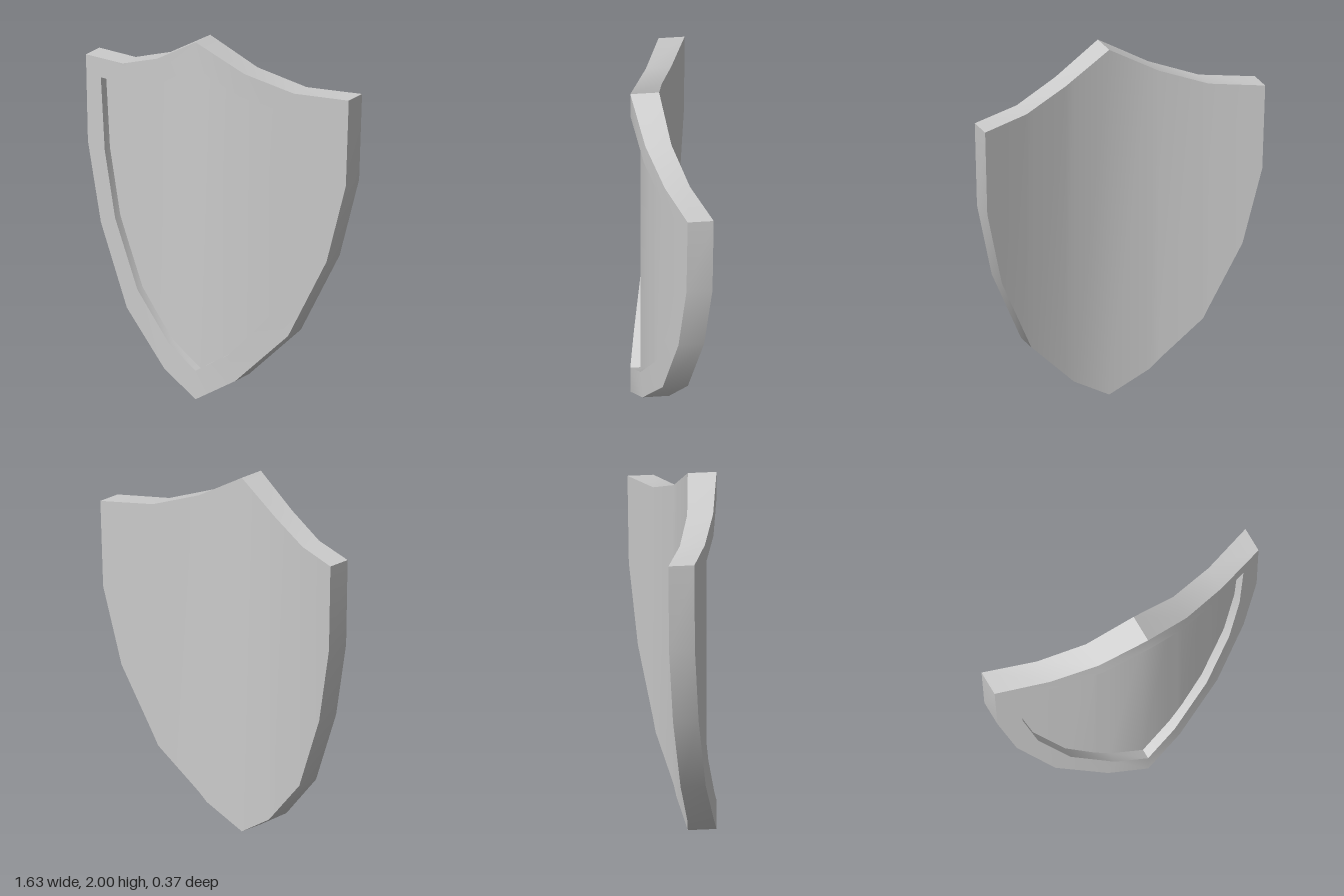
import * as THREE from 'three';
import { toCreasedNormals } from 'three/addons/utils/BufferGeometryUtils.js';

// Half outlines [x, y] from the top point, round the shoulder, to the bottom tip
const OUTER = [[0, 2], [0.27, 1.85], [0.53, 1.76], [0.815, 1.74], [0.8, 1.26], [0.7, 0.83], [0.5, 0.4], [0.22, 0.125], [0, 0]];
const INNER = [[0, 1.855], [0.245, 1.72], [0.49, 1.65], [0.7, 1.64], [0.67, 1.24], [0.59, 0.88], [0.42, 0.52], [0.185, 0.27], [0, 0.16]];
const SHOULDER = 3; // index of the upper corner

// Bent depth profiles [x, z]
const FRONT = [[0, 0.185], [0.27, 0.13], [0.53, 0.05], [0.815, -0.045]];
const BACK = [[0, 0.03], [0.27, -0.01], [0.53, -0.085], [0.815, -0.185]];
const RECESS = 0.055;

// Piecewise linear lookup on points sorted by their first value
function lookup(points, x) {
  const a = Math.abs(x);
  let i = 1;
  while (i < points.length - 1 && a > points[i][0]) i++;
  const [p, q] = [points[i - 1], points[i]];
  return p[1] + (q[1] - p[1]) * (a - p[0]) / (q[0] - p[0]);
}
const frontZ = x => lookup(FRONT, x);
const backZ = x => lookup(BACK, x);
const panelZ = x => frontZ(x) - RECESS;

// Closed mirrored outline laid on a bent depth profile
function loop(half, depth) {
  const left = half.slice(1, -1).reverse().map(([x, y]) => [-x, y]);
  return [...half, ...left].map(([x, y]) => [x, y, depth(x)]);
}

// Strip of quads joining two loops
function band(a, b) {
  return a.map((p, i) => {
    const j = (i + 1) % a.length;
    return [p, b[i], b[j], a[j]];
  });
}

// Bent sheet filling an outline, made of vertical columns
function sheet(half, depth, facesBack) {
  const top = half.slice(0, SHOULDER + 1);
  const bottom = half.slice(SHOULDER).reverse();
  const stops = [...half.map(p => p[0]), ...FRONT.map(p => p[0])].filter(x => x <= half[SHOULDER][0]);
  const xs = [...new Set(stops.flatMap(x => (x ? [x, -x] : [0])))].sort((a, b) => a - b);
  const low = xs.map(x => [x, lookup(bottom, x), depth(x)]);
  const high = xs.map(x => [x, lookup(top, x), depth(x)]);
  const quads = [];
  for (let i = 0; i < xs.length - 1; i++) {
    const quad = [low[i], low[i + 1], high[i + 1], high[i]];
    quads.push(facesBack ? quad.reverse() : quad);
  }
  return quads;
}

function makeMesh(name, quads, material) {
  const positions = [];
  const area = new THREE.Triangle();
  for (const [a, b, c, d] of quads) {
    for (const tri of [[a, b, c], [a, c, d]]) {
      area.set(...tri.map(p => new THREE.Vector3(...p)));
      if (area.getArea() > 1e-7) positions.push(...tri.flat());
    }
  }
  const geometry = new THREE.BufferGeometry();
  geometry.setAttribute('position', new THREE.Float32BufferAttribute(positions, 3));
  const mesh = new THREE.Mesh(toCreasedNormals(geometry, 0.55), material);
  mesh.name = name;
  return mesh;
}

export function createModel() {
  const group = new THREE.Group();
  group.name = 'shield';
  const material = new THREE.MeshStandardMaterial({ color: 0xcccccc });

  const outerFront = loop(OUTER, frontZ);
  const outerBack = loop(OUTER, backZ);
  const innerFront = loop(INNER, frontZ);
  const innerPanel = loop(INNER, panelZ);

  // Raised border: outer edge, front face and the step down to the panel
  group.add(makeMesh('rim', [
    ...band(outerBack, outerFront),
    ...band(outerFront, innerFront),
    ...band(innerFront, innerPanel),
  ], material));

  // Recessed front face and plain back face
  group.add(makeMesh('frontPanel', sheet(INNER, panelZ, false), material));
  group.add(makeMesh('backFace', sheet(OUTER, backZ, true), material));
  return group;
}
